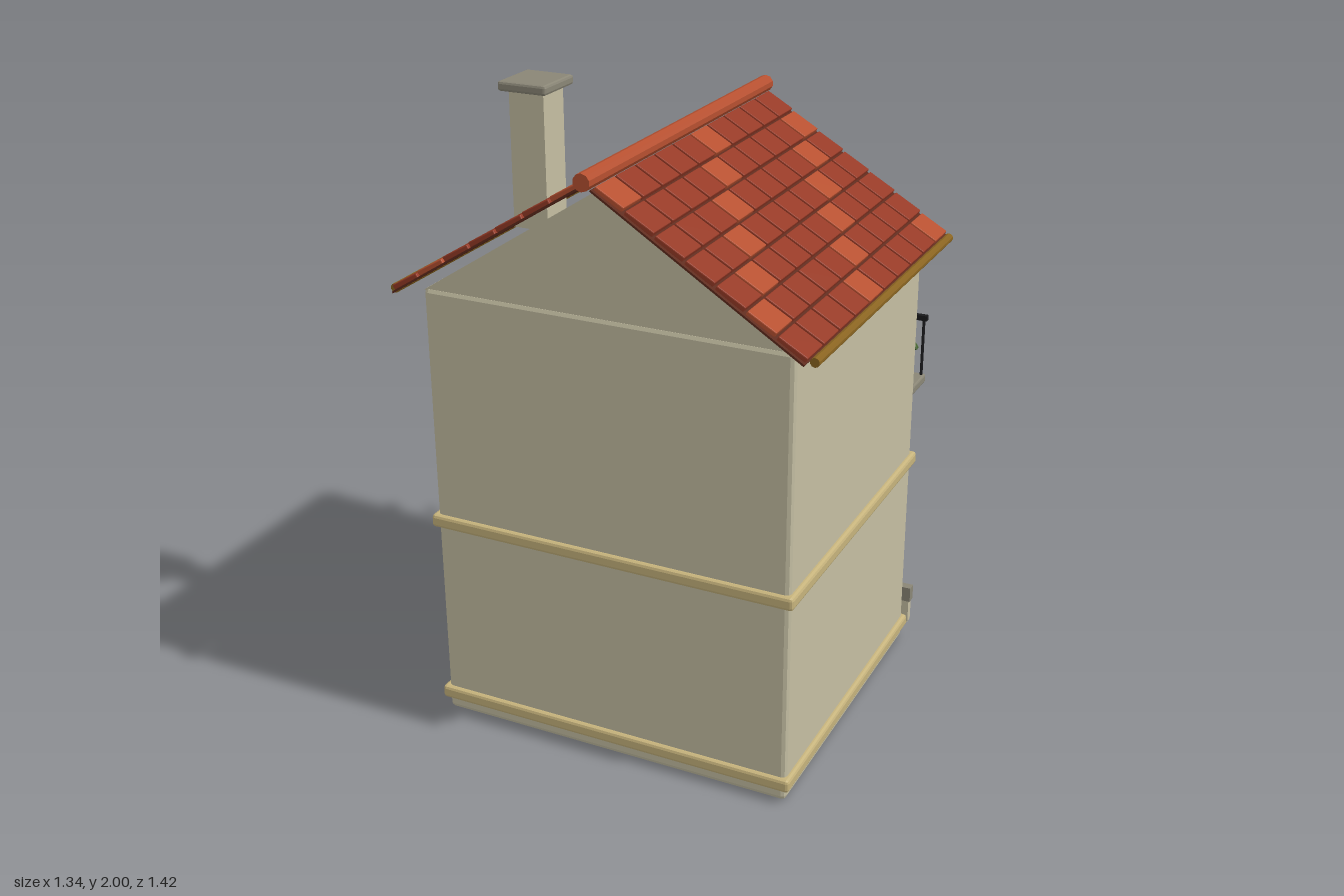
import * as THREE from 'three';
import { RoundedBoxGeometry } from 'three/addons/geometries/RoundedBoxGeometry.js';

const mat = (color) => new THREE.MeshStandardMaterial({ color, flatShading: true });
const M = {
  wall: mat(0xc4bea2), trim: mat(0xc6b37c), stone: mat(0x8a8676), tile: mat(0x963a26),
  tileLight: mat(0xb65030), under: mat(0x5e2a1c), gutter: mat(0x8a6420), shutter: mat(0x1d4c60),
  pane: mat(0xcf8a30), brown: mat(0x5e3420), dark: mat(0x35211a), iron: mat(0x1a1a1c),
  sign: mat(0x12392f), pot: mat(0xa83c26), leaf: mat(0x41602c),
};

function add(parent, name, geo, material, x = 0, y = 0, z = 0) {
  const m = new THREE.Mesh(geo, material);
  m.name = name;
  m.position.set(x, y, z);
  parent.add(m);
  return m;
}
const box = (p, name, material, w, h, d, x, y, z) =>
  add(p, name, new THREE.BoxGeometry(w, h, d), material, x, y, z);
const chamfered = (p, name, material, w, h, d, r, x, y, z) =>
  add(p, name, new RoundedBoxGeometry(w, h, d, 1, r), material, x, y, z);
function group(parent, name, x = 0, y = 0, z = 0) {
  const g = new THREE.Group();
  g.name = name;
  g.position.set(x, y, z);
  parent.add(g);
  return g;
}

const BACK = -0.42; // facade plane
const MID = 0.1; // middle of the body in z

// Window with glazing bars and a pair of slatted shutters, facing -z
function addWindow(parent, x, y) {
  const g = group(parent, 'window', x, y, BACK);
  const w = 0.24, h = 0.37;
  box(g, 'pane', M.pane, w - 0.02, h - 0.02, 0.02, 0, 0, -0.01);
  for (const s of [-1, 1]) {
    box(g, 'frameSide', M.trim, 0.018, h, 0.03, s * (w / 2 - 0.009), 0, -0.015);
    box(g, 'frameEnd', M.trim, w, 0.022, 0.034, 0, s * (h / 2 - 0.006), -0.017);
    box(g, 'verticalBar', M.brown, 0.01, h - 0.03, 0.012, s * 0.036, 0, -0.022);
    box(g, 'horizontalBar', M.brown, w - 0.03, 0.01, 0.012, 0, s * 0.058, -0.022);

    const sh = group(g, 'shutter', s * 0.168, 0, -0.02);
    box(sh, 'shutterBoard', M.shutter, 0.076, h, 0.02, 0, 0, 0);
    for (const e of [-1, 1]) box(sh, 'stile', M.shutter, 0.01, h, 0.036, e * 0.034, 0, -0.006);
    for (let i = 0; i < 11; i++) {
      const slat = box(sh, 'slat', M.shutter, 0.062, 0.024, 0.007, 0, -0.16 + i * 0.032, -0.014);
      slat.rotation.x = 0.5;
    }
  }
}

// Potted plant: clay pot with a loose ring of leaves
function addPlant(parent, x, turn) {
  const g = group(parent, 'pottedPlant', x, 0.86, -0.58);
  add(g, 'pot', new THREE.CylinderGeometry(0.047, 0.043, 0.085, 12), M.pot, 0, 0.0425, 0);
  const leafGeo = new THREE.SphereGeometry(1, 8, 6);
  const heights = [0.12, 0.17, 0.21, 0.13, 0.19, 0.15, 0.22, 0.14];
  heights.forEach((h, i) => {
    const a = turn + (i / heights.length) * Math.PI * 2;
    const r = 0.068 + (i % 3) * 0.01;
    const leaf = add(g, 'leaf', leafGeo, M.leaf, Math.cos(a) * r, h, Math.sin(a) * r);
    leaf.scale.set(0.019, 0.01, 0.033);
    leaf.rotation.set(0.3 * Math.sin(i * 2), -a + 0.5, 0.25 * Math.cos(i * 3), 'YXZ');
  });
}

// One roof slope; s = 1 or -1 picks the side
function addSlope(parent, s) {
  const cols = 7, rows = 10, z0 = -0.48, dz = 0.117;
  const top = new THREE.Vector2(0.022, 1.838), eave = new THREE.Vector2(0.643, 1.447);
  const length = top.distanceTo(eave), step = length / cols;
  const angle = Math.atan2(top.y - eave.y, eave.x - top.x);
  const g = group(parent, 'roofSlope', (s * (top.x + eave.x)) / 2, (top.y + eave.y) / 2, z0 + (rows * dz) / 2);
  g.rotation.z = -s * angle;
  box(g, 'roofUnderlay', M.under, length, 0.006, rows * dz + 0.012, 0, -0.007, 0);
  const tileGeo = new RoundedBoxGeometry(step - 0.008, 0.016, dz - 0.009, 1, 0.003);
  for (let c = 0; c < cols; c++) {
    for (let r = 0; r < rows; r++) {
      const m = (c + r) % 5 === 0 ? M.tileLight : M.tile;
      const t = add(g, 'roofTile', tileGeo, m, s * (length / 2 - (c + 0.5) * step), 0.002, (r + 0.5 - rows / 2) * dz);
      t.rotation.z = s * 0.04;
    }
  }
  const gutter = add(parent, 'gutter', new THREE.CylinderGeometry(0.014, 0.014, 1.13, 10), M.gutter, s * 0.655, 1.44, 0.095);
  gutter.rotation.x = Math.PI / 2;
}

export function createModel() {
  const house = new THREE.Group();
  house.name = 'house';

  // Walls, gable and string courses
  chamfered(house, 'walls', M.wall, 1.17, 1.44, 1.04, 0.015, 0, 0.72, MID);
  const tri = new THREE.Shape([
    new THREE.Vector2(-0.585, 1.432), new THREE.Vector2(0.585, 1.432), new THREE.Vector2(0, 1.81),
  ]);
  add(house, 'gable', new THREE.ExtrudeGeometry(tri, { depth: 1.03, bevelEnabled: false }), M.wall, 0, 0, MID - 0.515);
  for (const y of [0.062, 0.68])
    chamfered(house, 'stringCourse', M.trim, 1.2, 0.042, 1.07, 0.01, 0, y, MID);

  // Roof
  const roof = group(house, 'roof');
  for (const s of [-1, 1]) addSlope(roof, s);
  const ridge = add(roof, 'ridge', new THREE.CylinderGeometry(0.026, 0.026, 1.23, 10), M.tileLight, 0, 1.855, 0.095);
  ridge.rotation.x = Math.PI / 2;

  // Chimney
  const chimney = group(house, 'chimney', -0.393, 0, 0.262);
  box(chimney, 'chimneyStack', M.wall, 0.115, 0.42, 0.115, 0, 1.765, 0);
  chamfered(chimney, 'chimneyCap', M.stone, 0.16, 0.03, 0.17, 0.008, 0, 1.985, 0);

  // Windows
  for (const x of [-0.34, 0.34]) for (const y of [0.388, 1.075]) addWindow(house, x, y);

  // Door
  const door = group(house, 'door', 0, 0.28, BACK);
  box(door, 'doorLeaf', M.dark, 0.16, 0.5, 0.02, 0, 0, -0.01);
  for (const s of [-1, 1]) {
    box(door, 'doorJamb', M.brown, 0.024, 0.52, 0.036, s * 0.088, 0, -0.018);
    box(door, 'doorStile', M.brown, 0.014, 0.48, 0.012, s * 0.03, 0, -0.024);
  }
  box(door, 'doorLintel', M.brown, 0.2, 0.035, 0.04, 0, 0.243, -0.02);
  box(door, 'doorSill', M.brown, 0.2, 0.05, 0.034, 0, -0.235, -0.017);

  // Sign board above the door
  chamfered(house, 'signBoard', M.sign, 0.44, 0.09, 0.03, 0.01, 0, 0.635, -0.48);

  // Stone dado along the foot of the facade
  for (const s of [-1, 1]) {
    box(house, 'dadoRail', M.stone, 0.49, 0.052, 0.03, s * 0.365, 0.163, BACK - 0.012);
    for (const x of [0.14, 0.36, 0.59])
      box(house, 'dadoPost', M.wall, 0.03, 0.085, 0.026, s * x, 0.1, BACK - 0.012);
  }

  // Balcony with railing, brackets and plants
  const balcony = group(house, 'balcony');
  chamfered(balcony, 'balconySlab', M.stone, 1.06, 0.03, 0.29, 0.006, 0, 0.845, -0.567);
  box(balcony, 'handrail', M.iron, 1.06, 0.018, 0.018, 0, 1.068, -0.697);
  for (let i = 0; i <= 14; i++)
    add(balcony, 'baluster', new THREE.CylinderGeometry(0.005, 0.005, 0.21, 6), M.iron, -0.518 + i * 0.074, 0.96, -0.697);
  for (const s of [-1, 1]) {
    const bracket = box(balcony, 'bracket', M.iron, 0.022, 0.024, 0.27, s * 0.49, 0.774, -0.55);
    bracket.rotation.x = 0.4;
    addPlant(balcony, s * 0.435, s > 0 ? 0.3 : 0.9);
  }
  return house;
}
